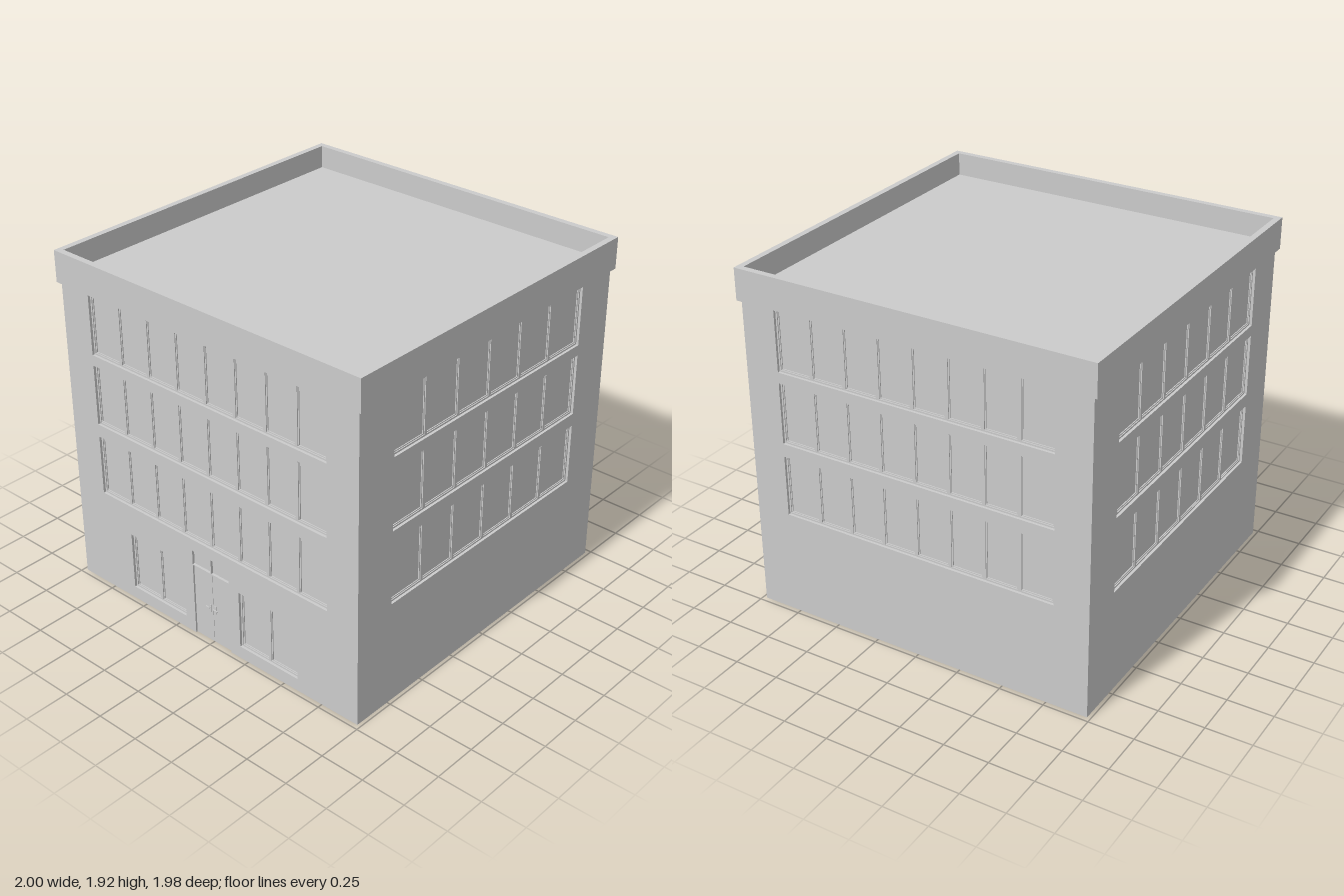
import * as THREE from 'three';

const HX = 0.98, HZ = 0.973;        // half width and half depth of the walls
const WALL_TOP = 1.77, WALL_T = 0.014;
const ROWS = [0.583, 0.998, 1.4];   // sills of the upper floors
const ROW_H = 0.342;

const mat = new THREE.MeshStandardMaterial({ color: 0xcccccc, side: THREE.DoubleSide, flatShading: true });

function add(parent, name, geometry, x = 0, y = 0, z = 0) {
  const mesh = new THREE.Mesh(geometry, mat);
  mesh.name = name;
  mesh.position.set(x, y, z);
  parent.add(mesh);
  return mesh;
}

function rect(Type, x0, y0, x1, y1) {
  const p = new Type();
  p.moveTo(x0, y0);
  p.lineTo(x1, y0);
  p.lineTo(x1, y1);
  p.lineTo(x0, y1);
  p.closePath();
  return p;
}

const extrude = (shape, depth) => new THREE.ExtrudeGeometry(shape, { depth, bevelEnabled: false });

// A band of panes: a mullion frame, a finer sash frame behind it, then the glass
function windowBand({ x0, y0, x1, y1, panes }) {
  const band = new THREE.Group();
  band.name = 'windowBand';
  const pitch = (x1 - x0) / panes;
  const layers = [['mullionFrame', 0.009, 0.005], ['sashFrame', 0.015, 0.005]];
  let z = -WALL_T;
  for (const [name, margin, depth] of layers) {
    const frame = rect(THREE.Shape, x0, y0, x1, y1);
    for (let i = 0; i < panes; i++) {
      const a = x0 + i * pitch;
      frame.holes.push(rect(THREE.Path, a + margin, y0 + margin, a + pitch - margin, y1 - margin));
    }
    z -= depth;
    add(band, name, extrude(frame, depth), 0, 0, z);
  }
  add(band, 'glass', new THREE.PlaneGeometry(x1 - x0, y1 - y0), (x0 + x1) / 2, (y0 + y1) / 2, z);
  return band;
}

// A wall in its own frame, with its outer face at z = 0
function buildWall(name, half, bands, doorHalf = 0, doorTop = 0) {
  const wall = new THREE.Group();
  wall.name = name;
  const shape = new THREE.Shape();
  shape.moveTo(-half, 0);
  if (doorHalf) {
    shape.lineTo(-doorHalf, 0);
    shape.lineTo(-doorHalf, doorTop);
    shape.lineTo(doorHalf, doorTop);
    shape.lineTo(doorHalf, 0);
  }
  shape.lineTo(half, 0);
  shape.lineTo(half, WALL_TOP);
  shape.lineTo(-half, WALL_TOP);
  shape.closePath();
  for (const b of bands) {
    shape.holes.push(rect(THREE.Path, b.x0, b.y0, b.x1, b.y1));
    wall.add(windowBand(b));
  }
  add(wall, 'wallPanel', extrude(shape, WALL_T), 0, 0, -WALL_T);
  return wall;
}

const upperBands = (half, panes) =>
  ROWS.map((y) => ({ x0: -half, x1: half, y0: y, y1: y + ROW_H, panes }));

// Double door with a lever handle on each leaf
function buildDoor(half, top) {
  const door = new THREE.Group();
  door.name = 'entranceDoor';
  for (const s of [-1, 1]) {
    const w = half - 0.001;
    add(door, 'doorLeaf', new THREE.BoxGeometry(w, top, 0.01), s * (0.001 + w / 2), top / 2, -0.015);
    add(door, 'handlePlate', new THREE.BoxGeometry(0.01, 0.044, 0.004), s * 0.016, 0.206, -0.008);
    const stem = add(door, 'handleStem', new THREE.CylinderGeometry(0.003, 0.003, 0.014, 8), s * 0.016, 0.213, -0.002);
    stem.rotation.x = Math.PI / 2;
    add(door, 'handleLever', new THREE.BoxGeometry(0.028, 0.006, 0.005), s * 0.027, 0.213, 0.004);
  }
  return door;
}

export function createModel() {
  const building = new THREE.Group();
  building.name = 'officeBuilding';

  // Front wall with shop windows, transom and door
  const doorHalf = 0.128, doorTop = 0.425;
  const groundBands = [-1, 1].map((s) => ({
    x0: s * 0.392 - 0.197, x1: s * 0.392 + 0.197, y0: 0.072, y1: 0.405, panes: 2,
  }));
  const front = buildWall('frontWall', HX, [...upperBands(0.786, 8), ...groundBands], doorHalf, doorTop);
  front.add(buildDoor(doorHalf, doorTop));

  // Two small transom lights over the door
  const panel = front.getObjectByName('wallPanel');
  const shape = panel.geometry.parameters.shapes;
  for (const s of [-1, 1]) {
    const c = s * 0.066;
    shape.holes.push(rect(THREE.Path, c - 0.062, 0.43, c + 0.062, 0.513));
    add(front, 'transomGlass', new THREE.PlaneGeometry(0.124, 0.083), c, 0.4715, -WALL_T);
  }
  panel.geometry = extrude(shape, WALL_T);
  front.position.z = HZ;

  const back = buildWall('backWall', HX, upperBands(0.786, 8));
  back.rotation.y = Math.PI;
  back.position.z = -HZ;
  building.add(front, back);

  // Side walls fit between front and back
  for (const [name, s] of [['leftWall', 1], ['rightWall', -1]]) {
    const side = buildWall(name, HZ - WALL_T, upperBands(0.73, 6));
    side.rotation.y = s * Math.PI / 2;
    side.position.x = s * HX;
    building.add(side);
  }

  // Overhanging parapet ring around a sunken flat roof
  const ring = rect(THREE.Shape, -1, -0.988, 1, 0.988);
  ring.holes.push(rect(THREE.Path, -0.966, -0.954, 0.966, 0.954));
  add(building, 'parapet', extrude(ring, 0.174), 0, 1.743, 0).rotation.x = -Math.PI / 2;
  add(building, 'roof', new THREE.BoxGeometry(1.932, 0.03, 1.908), 0, 1.775, 0);

  return building;
}
